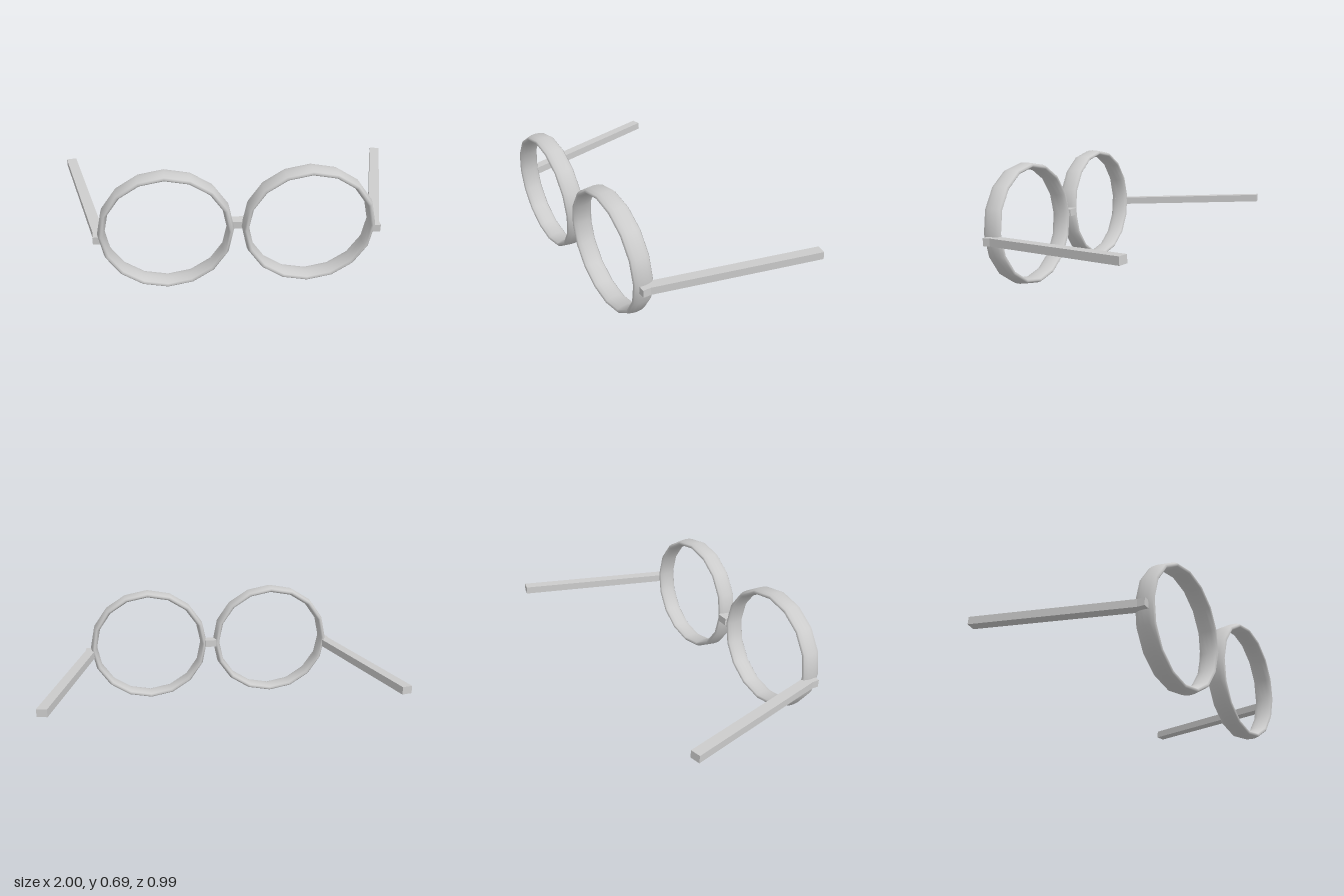
import * as THREE from 'three';

export function createModel() {
  const model = new THREE.Group();
  model.name = 'spectacles';
  const material = new THREE.MeshStandardMaterial({ color: 0xcccccc });

  // Whole frame leans forward slightly about the rim centre
  const frame = new THREE.Group();
  frame.name = 'frame';
  frame.position.set(0, 0.346, 0.419);
  frame.rotation.x = 0.06;
  model.add(frame);

  const add = (name, geometry, x = 0, y = 0, z = 0) => {
    const mesh = new THREE.Mesh(geometry, material);
    mesh.name = name;
    mesh.position.set(x, y, z);
    frame.add(mesh);
  };

  // Rims: 16-sided rings, slightly wide, with a deep oval section
  const rim = new THREE.TorusGeometry(0.3275, 0.0185, 12, 16).scale(1.048, 1, 3.03);
  add('leftRim', rim, 0.372);
  add('rightRim', rim, -0.395);

  // Bridge between the rims
  add('bridge', new THREE.BoxGeometry(0.07, 0.042, 0.058), -0.011, 0.004, -0.034);

  // Temples: a short hinge block bending into a straight splayed arm
  const height = 0.043;
  const temple = (side, hinge) => {
    const outline = [
      [hinge - 0.065, 0.028], [hinge, 0.028], [hinge, -0.015],
      [1.0, -0.903], [0.944, -0.915], [hinge - 0.06, -0.015],
    ];
    // Shape y becomes -z once the extrusion is laid flat
    const shape = new THREE.Shape(outline.map(([x, z]) => new THREE.Vector2(side * x, -z)));
    return new THREE.ExtrudeGeometry(shape, { depth: height, bevelEnabled: false })
      .rotateX(-Math.PI / 2)
      .translate(0, -0.034 - height / 2, 0);
  };
  add('leftTemple', temple(1, 0.765));
  add('rightTemple', temple(-1, 0.782));

  return model;
}
